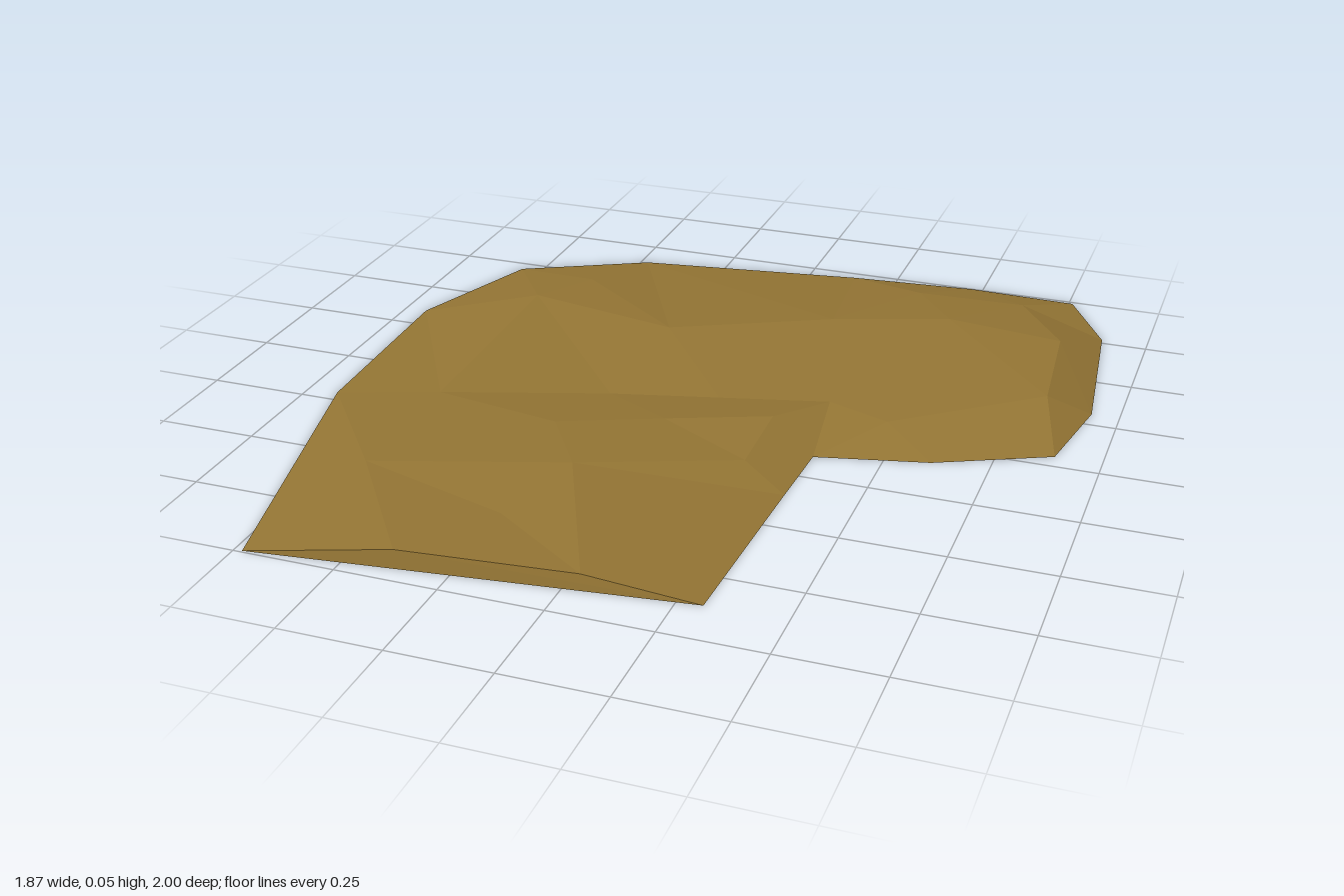
import * as THREE from 'three';

// Ground-level outline of the patch, as x, z
const rim = [
  [-0.94, -0.34], [-0.81, -0.71], [-0.48, -0.88], [0.13, -0.97], [0.47, -1], [0.76, -0.99],
  [0.88, -0.77], [0.93, -0.31], [0.885, -0.05], [0.61, 0.08], [0.335, 0.145], [0.327, 0.35],
  [0.31, 0.87], [-0.73, 0.995], [-0.92, 0.21],
];

// Raised surface points, as x, height, z
const bumps = [
  // back plateau
  [-0.56, 0.03, -0.64], [0.35, 0.028, -0.86], [0.64, 0.028, -0.87],
  [-0.65, 0.04, -0.46], [-0.22, 0.047, -0.36], [0.18, 0.047, -0.56],
  [0.48, 0.05, -0.66], [0.79, 0.048, -0.62], [0.82, 0.047, -0.28],
  // shallow valley
  [-0.65, 0.022, 0.16], [-0.24, 0.02, 0.02], [0.03, 0.02, -0.05], [0.3, 0.02, -0.12],
  // ridge beside the valley
  [-0.29, 0.046, 0.26], [-0.045, 0.043, 0.15], [0.2, 0.038, 0.04], [0.47, 0.03, -0.04],
  // front mound and its steep front lip
  [0.2, 0.025, 0.26], [-0.16, 0.055, 0.46], [-0.64, 0.035, 0.58], [-0.23, 0.038, 0.71],
  [-0.38, 0.044, 0.945], [0.04, 0.038, 0.895],
];

// Is x, z inside the outline?
function insideRim(x, z) {
  let inside = false;
  rim.forEach(([ax, az], i) => {
    const [bx, bz] = rim[(i + 1) % rim.length];
    if ((az > z) !== (bz > z) && x < ax + ((z - az) / (bz - az)) * (bx - ax)) inside = !inside;
  });
  return inside;
}

// Triangles whose circumcircle holds no other point, wound to face up
function triangulate(p) {
  const faces = [];
  for (let i = 0; i < p.length; i++)
    for (let j = i + 1; j < p.length; j++)
      for (let k = j + 1; k < p.length; k++) {
        const a = p[i], b = p[j], c = p[k];
        const ux = b.x - a.x, uz = b.z - a.z, vx = c.x - a.x, vz = c.z - a.z;
        const d = 2 * (ux * vz - uz * vx);
        if (Math.abs(d) < 1e-7) continue;
        const u2 = ux * ux + uz * uz, v2 = vx * vx + vz * vz;
        const ox = (vz * u2 - uz * v2) / d, oz = (ux * v2 - vx * u2) / d;
        const r2 = ox * ox + oz * oz;
        const empty = p.every((q, n) => n === i || n === j || n === k ||
          (q.x - a.x - ox) ** 2 + (q.z - a.z - oz) ** 2 >= r2 - 1e-9);
        if (empty && insideRim((a.x + b.x + c.x) / 3, (a.z + b.z + c.z) / 3))
          faces.push(d < 0 ? [a, b, c] : [a, c, b]);
      }
  return faces;
}

function meshFromFaces(name, faces, material) {
  const geometry = new THREE.BufferGeometry().setFromPoints(faces.flat());
  geometry.computeVertexNormals(); // unshared corners keep the facets flat
  const mesh = new THREE.Mesh(geometry, material);
  mesh.name = name;
  return mesh;
}

export function createModel() {
  const earth = new THREE.MeshStandardMaterial({ color: 0x967735 });
  earth.name = 'earth brown';
  const points = [
    ...rim.map(([x, z]) => new THREE.Vector3(x, 0, z)),
    ...bumps.map(([x, y, z]) => new THREE.Vector3(x, y, z)),
  ];
  const top = triangulate(points);
  // Flat underside: the same layout pressed to the ground and turned over
  const base = top.map(([a, b, c]) => [a, c, b].map((v) => new THREE.Vector3(v.x, 0, v.z)));

  const group = new THREE.Group();
  group.name = 'dirtPatch';
  group.add(meshFromFaces('groundSurface', top, earth), meshFromFaces('underside', base, earth));
  return group;
}
